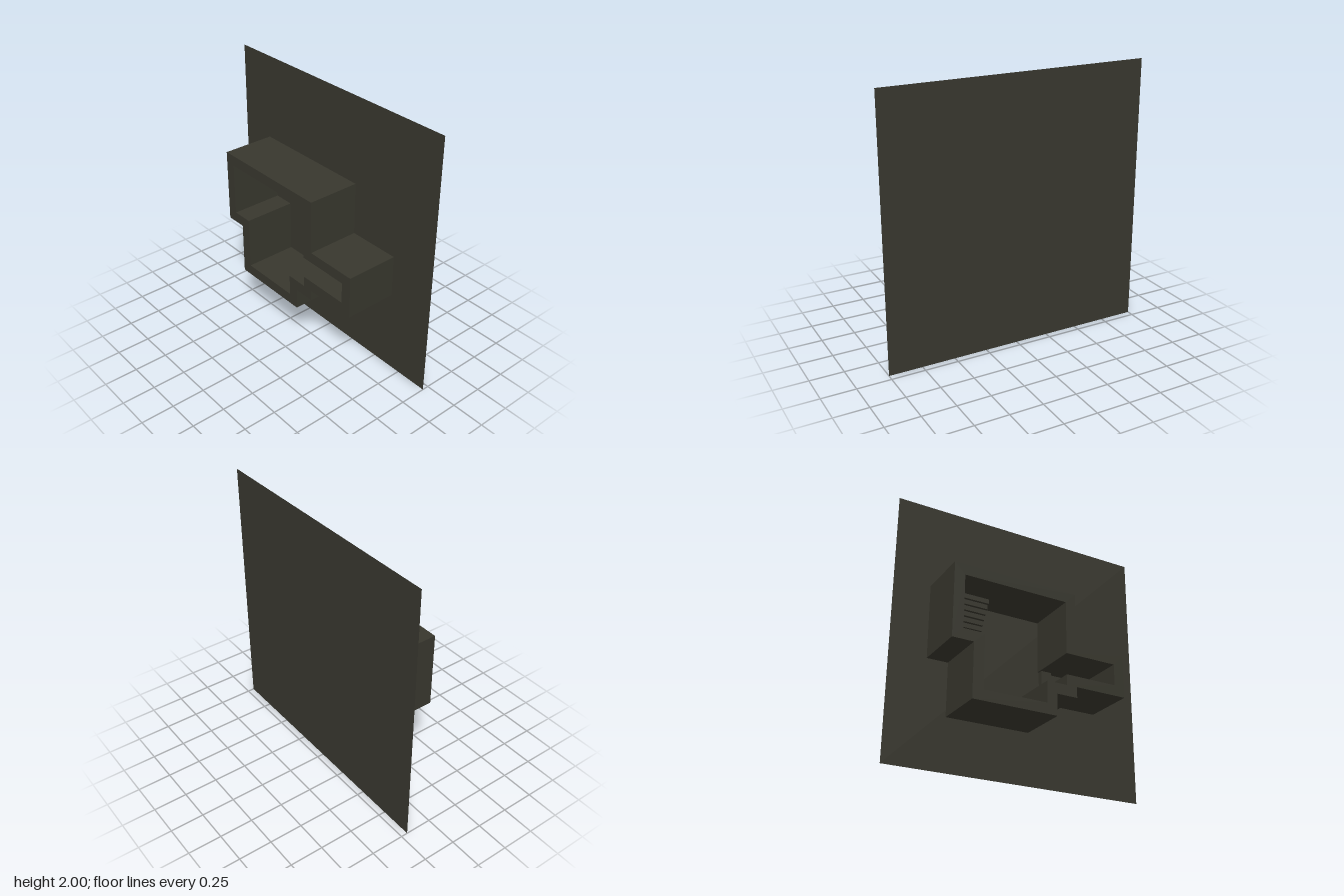
import * as THREE from 'three';

export function createModel() {
  const model = new THREE.Group();
  model.name = 'floorPlanRelief';
  const stone = new THREE.MeshStandardMaterial({ color: 0x38372e });
  stone.name = 'darkStone';
  const ground = new THREE.MeshStandardMaterial({ color: 0x38372e, side: THREE.DoubleSide });
  ground.name = 'darkGround';
  const back = -0.2, depth = 0.4;

  const add = (name, geometry, material = stone, parent = model) => {
    const mesh = new THREE.Mesh(geometry, material);
    mesh.name = name;
    parent.add(mesh);
    return mesh;
  };
  // box given by its x and y limits, standing on the ground sheet
  const slab = (name, x0, x1, y0, y1, height, parent) =>
    add(name, new THREE.BoxGeometry(x1 - x0, y1 - y0, height), stone, parent)
      .position.set((x0 + x1) / 2, (y0 + y1) / 2, back + height / 2);

  // flat sheet behind the rooms
  add('groundSheet', new THREE.PlaneGeometry(2, 2), ground).position.set(0, 1, back);

  // continuous room wall, with the room and corridor cut out
  const points = (list) => list.map(([x, y]) => new THREE.Vector2(x, y));
  const outline = new THREE.Shape(points([
    [-0.72, 1.35], [-0.72, 0.79], [-0.56, 0.79], [-0.56, 0.39], [0.08, 0.39], [0.08, 0.55],
    [0.24, 0.55], [0.24, 0.63], [0.64, 0.63], [0.64, 0.95], [0.24, 0.95], [0.24, 1.35],
  ]));
  outline.holes.push(new THREE.Path(points([
    [-0.64, 1.27], [0.16, 1.27], [0.16, 0.87], [0.56, 0.87], [0.56, 0.71], [0.16, 0.71],
    [0.16, 0.63], [0, 0.63], [0, 0.47], [-0.48, 0.47], [-0.48, 0.87], [-0.64, 0.87],
  ])));
  const walls = new THREE.ExtrudeGeometry(outline, { depth, bevelEnabled: false });
  add('roomWalls', walls).position.z = back;

  // stairs in the room corner, rising towards the upper wall
  const stairs = new THREE.Group();
  stairs.name = 'stairs';
  model.add(stairs);
  for (let i = 0; i < 8; i++) {
    const y = 0.99 + i * 0.035;
    slab('stairStep', -0.64, -0.335, y, y + 0.035, 0.02 * (i + 1), stairs);
  }

  // low threshold at the corridor mouth
  slab('threshold', 0.17, 0.25, 0.71, 0.87, 0.04);

  return model;
}
